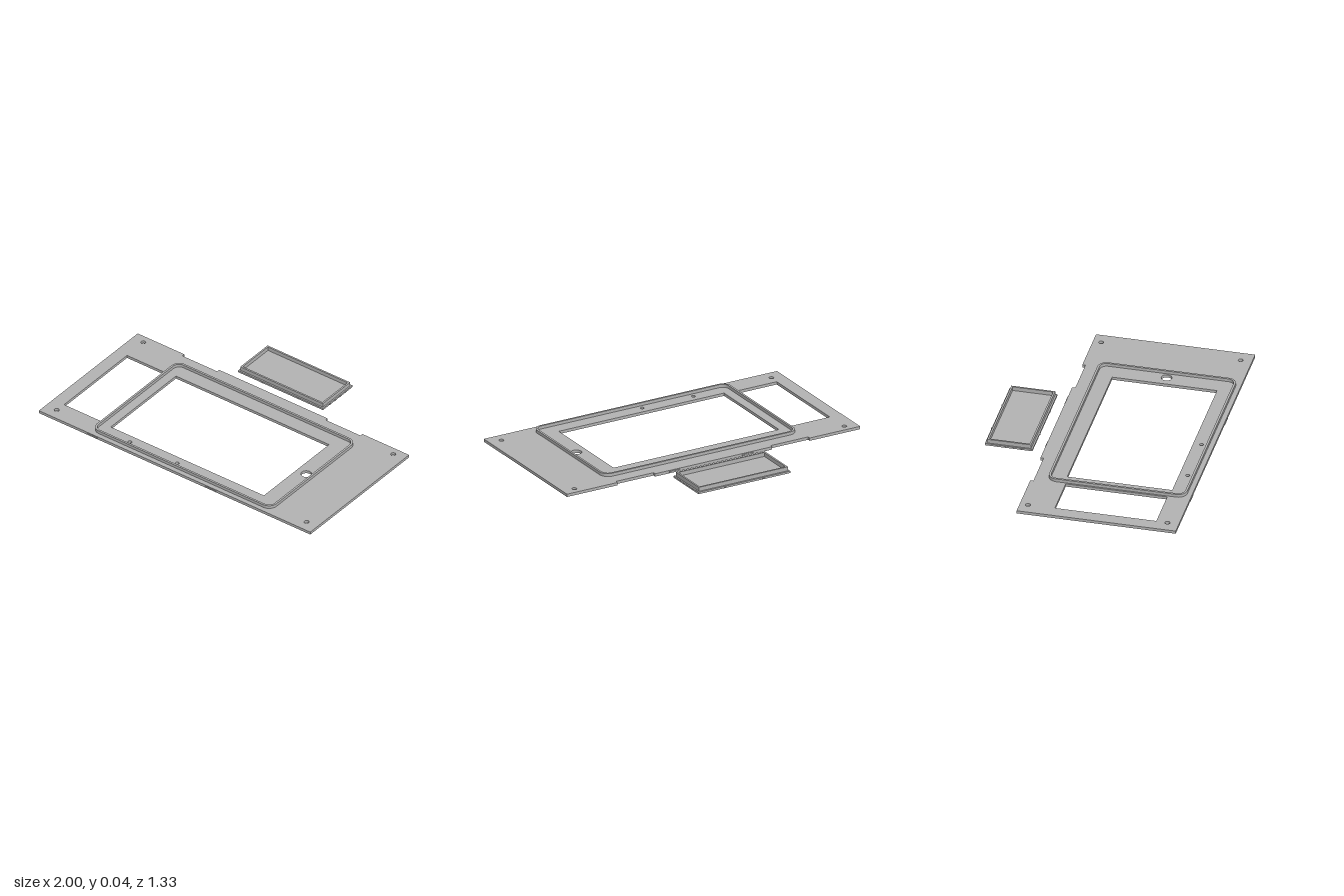
import * as THREE from 'three';

// rounded (or square) rectangle between two corners of the x/z plan
function rect(path, x0, z0, x1, z1, r = 0) {
  if (r === 0) {
    path.moveTo(x0, z0).lineTo(x1, z0).lineTo(x1, z1).lineTo(x0, z1).closePath();
    return path;
  }
  path.moveTo(x0 + r, z0);
  path.absarc(x1 - r, z0 + r, r, -Math.PI / 2, 0);
  path.absarc(x1 - r, z1 - r, r, 0, Math.PI / 2);
  path.absarc(x0 + r, z1 - r, r, Math.PI / 2, Math.PI);
  path.absarc(x0 + r, z0 + r, r, Math.PI, Math.PI * 1.5);
  return path;
}

const circle = (x, z, r) => new THREE.Path().absarc(x, z, r, 0, Math.PI * 2);

export function createModel() {
  const model = new THREE.Group();
  const grey = new THREE.MeshStandardMaterial({ color: 0xb2b2b2 });
  grey.name = 'grey plastic';

  const add = (name, geometry, parent = model) => {
    const mesh = new THREE.Mesh(geometry, grey);
    mesh.name = name;
    parent.add(mesh);
    return mesh;
  };
  // plan outline (x, z) extruded from height y0 up to y1
  const slab = (shape, y0, y1) =>
    new THREE.ExtrudeGeometry(shape, { depth: y1 - y0, bevelEnabled: false, curveSegments: 10 })
      .rotateX(Math.PI / 2).translate(0, y1, 0);
  const box = (x0, x1, y0, y1, z0, z1) =>
    new THREE.BoxGeometry(x1 - x0, y1 - y0, z1 - z0)
      .translate((x0 + x1) / 2, (y0 + y1) / 2, (z0 + z1) / 2);

  // face plate with two notches in its back edge
  const plateTop = 0.018, back = -0.302, front = 0.66, notch = -0.283;
  const plate = new THREE.Shape([
    [-1, back], [-0.656, back], [-0.656, notch], [-0.4, notch], [-0.4, back],
    [0.399, back], [0.399, notch], [0.656, notch], [0.656, back], [1, back],
    [1, front], [-1, front],
  ].map(([x, z]) => new THREE.Vector2(x, z)));
  plate.holes.push(
    rect(new THREE.Path(), -0.918, -0.09, -0.645, 0.523), // side window
    rect(new THREE.Path(), -0.565, -0.1, 0.563, 0.534),   // screen opening
    circle(0.632, 0.213, 0.032),                          // button hole
  );
  for (const x of [-0.921, 0.921])
    for (const z of [-0.252, 0.591]) plate.holes.push(circle(x, z, 0.015));
  for (const x of [-0.386, -0.037]) plate.holes.push(circle(x, 0.585, 0.012));
  add('facePlate', slab(plate, 0, plateTop));

  // raised rim around the screen
  const rim = rect(new THREE.Shape(), -0.635, -0.205, 0.687, 0.63, 0.055);
  rim.holes.push(rect(new THREE.Path(), -0.622, -0.192, 0.674, 0.617, 0.042));
  add('screenRim', slab(rim, plateTop, 0.037));

  // thin snap tabs on the plate edges
  for (const x of [-0.273, 0.225]) add('backTab', box(x, x + 0.078, 0.003, 0.012, back - 0.004, back));
  for (const x of [-0.648, 0.225]) add('frontTab', box(x, x + 0.08, 0.003, 0.012, front, front + 0.003));

  // separate tray: flanged floor, upright wall and small snap bumps
  const tray = new THREE.Group();
  tray.name = 'tray';
  model.add(tray);
  add('trayFloor', slab(rect(new THREE.Shape(), -0.313, -0.659, 0.313, -0.371), 0, 0.012), tray);
  const wall = rect(new THREE.Shape(), -0.304, -0.647, 0.304, -0.381);
  wall.holes.push(rect(new THREE.Path(), -0.293, -0.636, 0.293, -0.392));
  add('trayWall', slab(wall, 0.012, 0.037), tray);
  for (const side of [-1, 1]) {
    for (const z of [-0.59, -0.54, -0.49, -0.44])
      add('sideBump', box(side * 0.314 - 0.003, side * 0.314 + 0.003, 0.003, 0.009, z - 0.006, z + 0.006), tray);
    for (const x of [-0.13, 0.13]) {
      const z = -0.515 + side * 0.145;
      add('edgeBump', box(x - 0.006, x + 0.006, 0.003, 0.009, z - 0.003, z + 0.003), tray);
    }
  }
  return model;
}
